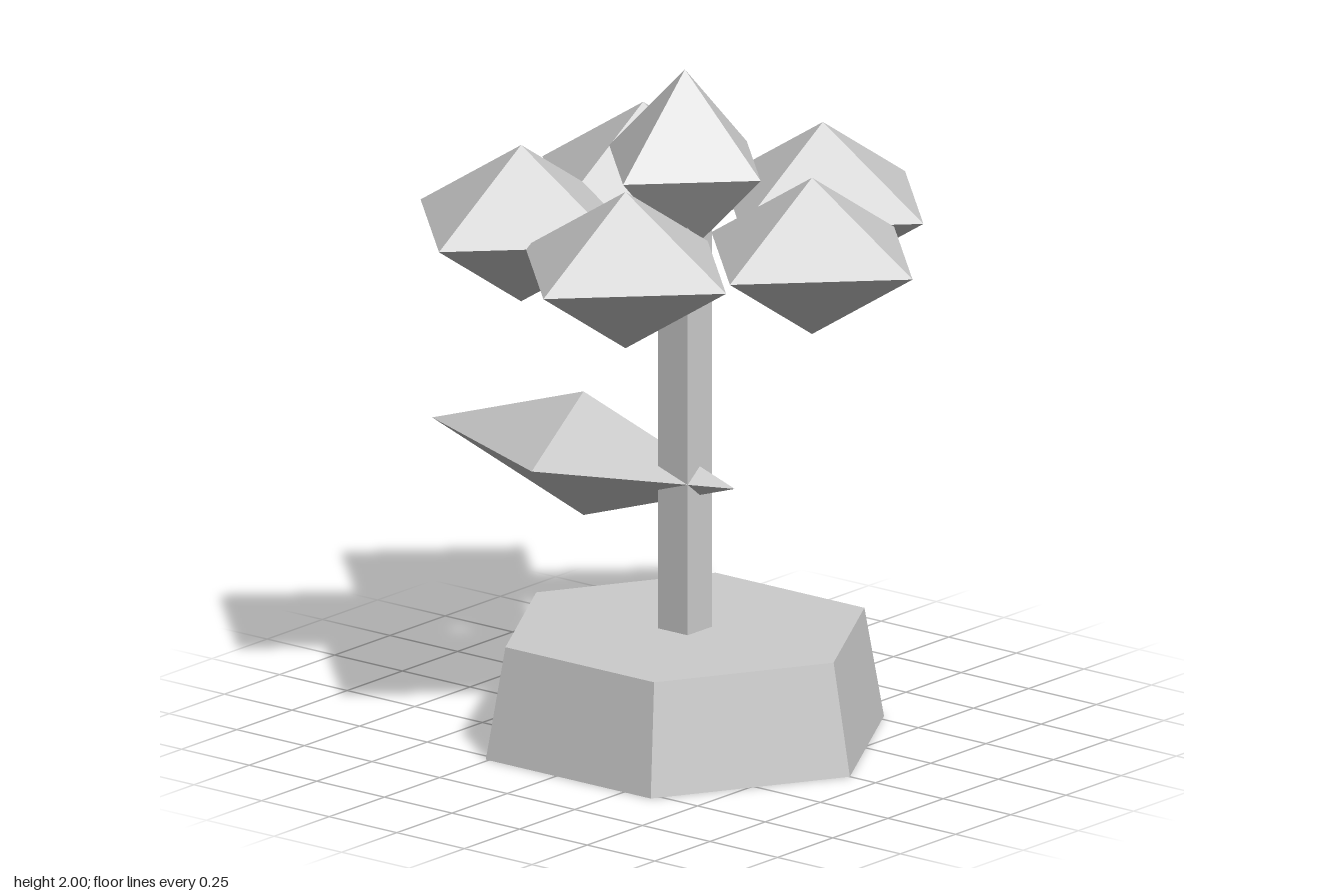
import * as THREE from 'three';

export function createModel() {
  const group = new THREE.Group();
  group.name = 'pottedFlower';
  const grey = new THREE.MeshStandardMaterial({ color: 0xcccccc });
  grey.name = 'light grey';
  grey.flatShading = true;
  const axisX = 0.045; // the stem line

  const add = (name, geometry, x, y, z) => {
    const mesh = new THREE.Mesh(geometry, grey);
    mesh.name = name;
    mesh.position.set(x, y, z);
    group.add(mesh);
  };
  // Stretched octahedron with half sizes rx, ry, rz
  const diamond = (rx, ry, rz) => new THREE.OctahedronGeometry(1).scale(rx, ry, rz);

  // Six-sided tapered pot with corners on the x axis
  const pot = new THREE.CylinderGeometry(0.55, 0.61, 0.33, 6, 1, false, Math.PI / 2);
  add('pot', pot, axisX, 0.165, 0);

  // Square stem, running up into the flower centre
  add('stem', new THREE.BoxGeometry(0.11, 1.3, 0.11), axisX, 0.95, 0);

  // Single leaf, its inner tip piercing the stem
  add('leaf', diamond(0.56, 0.185, 0.235), -0.33, 0.78, 0);

  // Ring of five petals
  for (let i = 0; i < 5; i++) {
    const a = (i * Math.PI * 2) / 5;
    add(`petal${i + 1}`, diamond(0.372, 0.234, 0.372), axisX + 0.47 * Math.cos(a), 1.532, 0.47 * Math.sin(a));
  }

  // Flower centre
  add('flowerCentre', diamond(0.28, 0.28, 0.28), axisX, 1.72, 0);

  return group;
}
